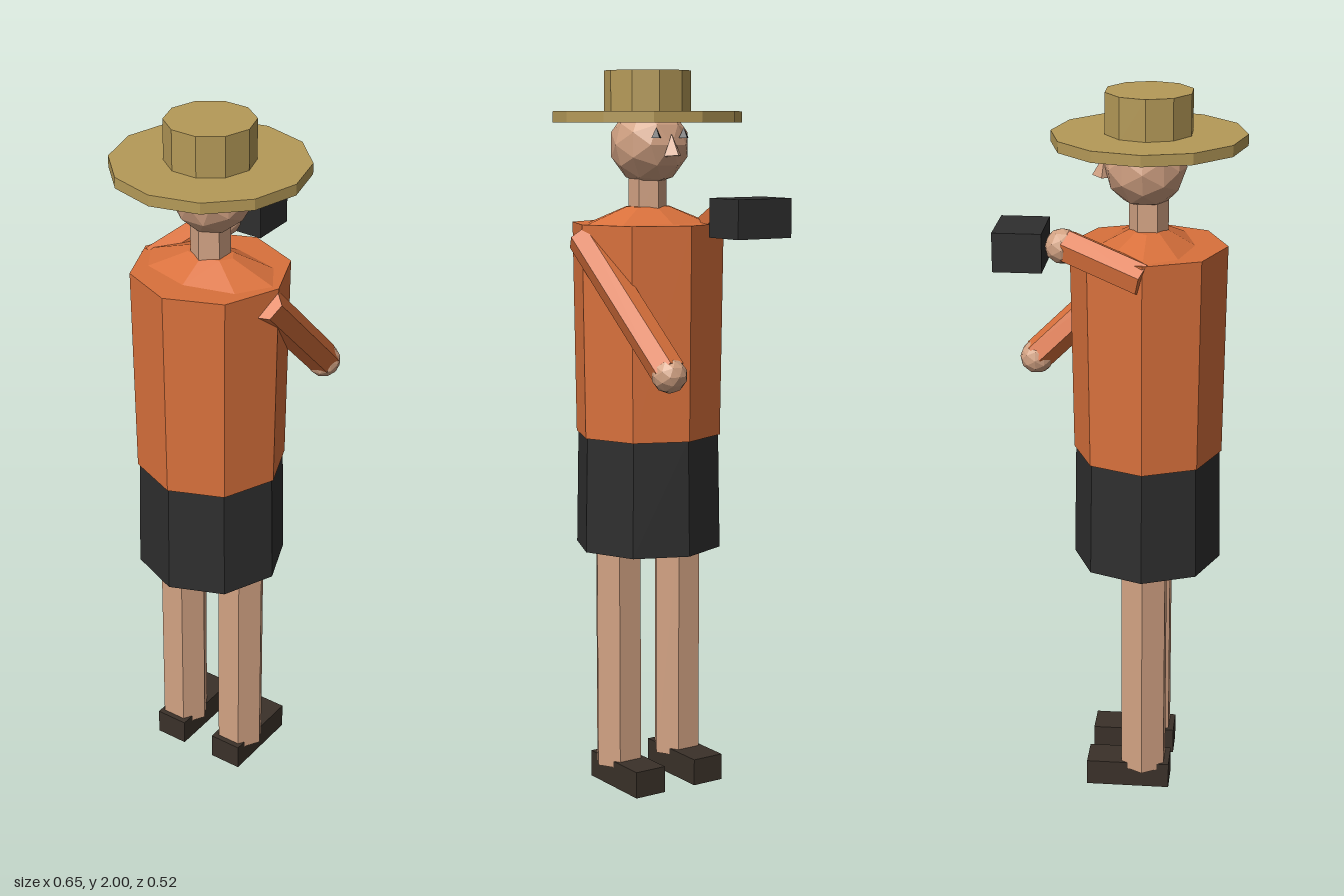
import * as THREE from 'three';

const mat = (name, color) => {
  const m = new THREE.MeshStandardMaterial({ color, flatShading: true });
  m.name = name;
  return m;
};

export function createModel() {
  const orange = mat('orange shirt', 0xd9713c);
  const skin = mat('skin', 0xd2a283);
  const black = mat('black', 0x2e2e2e);
  const shoeBrown = mat('dark brown', 0x3a3129);
  const straw = mat('straw', 0xb59a58);
  const eyeBlack = mat('eye black', 0x191919);

  const model = new THREE.Group();
  model.name = 'figure';
  const X = -0.067; // body axis; the figure looks along +x

  const add = (name, geometry, material, x, y, z) => {
    const mesh = new THREE.Mesh(geometry, material);
    mesh.name = name;
    mesh.position.set(x, y, z);
    model.add(mesh);
    return mesh;
  };
  // Upright faceted drum between two heights
  const drum = (name, material, rTop, rBottom, y0, y1, sides, z = 0) =>
    add(name, new THREE.CylinderGeometry(rTop, rBottom, y1 - y0, sides), material, X, (y0 + y1) / 2, z);

  // Legs and shoes
  for (const [side, s] of [['left', -1], ['right', 1]]) {
    drum(side + 'Leg', skin, 0.07, 0.07, 0.057, 0.72, 6, s * 0.1);
    add(side + 'Shoe', new THREE.BoxGeometry(0.236, 0.075, 0.095), shoeBrown, -0.025, 0.0375, s * 0.098);
  }

  // Body
  drum('shorts', black, 0.2, 0.206, 0.68, 1.002, 8);
  drum('torso', orange, 0.213, 0.205, 1.0, 1.587, 8);
  drum('shoulders', orange, 0.07, 0.2, 1.585, 1.632, 8).scale.x = 0.64;
  drum('neck', skin, 0.053, 0.053, 1.6, 1.73, 6).rotation.y = Math.PI / 6;

  // Arms reach from the shoulder to the hand
  const arm = (side, from, to, hand) => {
    const a = new THREE.Vector3(...from), b = new THREE.Vector3(...to);
    const dir = b.clone().sub(a);
    const mid = a.clone().add(b).multiplyScalar(0.5);
    const limb = add(side + 'Arm', new THREE.CylinderGeometry(0.047, 0.047, dir.length(), 6), orange, mid.x, mid.y, mid.z);
    limb.quaternion.setFromUnitVectors(new THREE.Vector3(0, 1, 0), dir.normalize());
    add(side + 'Hand', new THREE.IcosahedronGeometry(0.048, 1), skin, ...hand);
  };
  arm('right', [-0.095, 1.55, 0.19], [0.257, 1.213, 0.15], [0.26, 1.207, 0.15]);
  arm('left', [-0.07, 1.545, -0.19], [0.14, 1.61, -0.115], [0.15, 1.608, -0.112]);

  // Camera held in the raised hand
  add('camera', new THREE.BoxGeometry(0.13, 0.105, 0.175), black, 0.26, 1.61, -0.11);

  // Head and face
  add('head', new THREE.IcosahedronGeometry(0.11, 1), skin, -0.058, 1.8, 0);
  const nose = add('nose', new THREE.ConeGeometry(0.028, 0.06, 4), skin, 0.053, 1.8, 0);
  nose.rotation.z = 0.1;
  for (const s of [-1, 1]) {
    add(s < 0 ? 'leftEye' : 'rightEye', new THREE.ConeGeometry(0.016, 0.028, 4), eyeBlack, 0.043, 1.833, s * 0.045);
  }

  // Straw hat
  drum('hatBrim', straw, 0.26, 0.26, 1.86, 1.89, 12);
  drum('hatCrown', straw, 0.119, 0.119, 1.885, 2.0, 10);

  return model;
}
